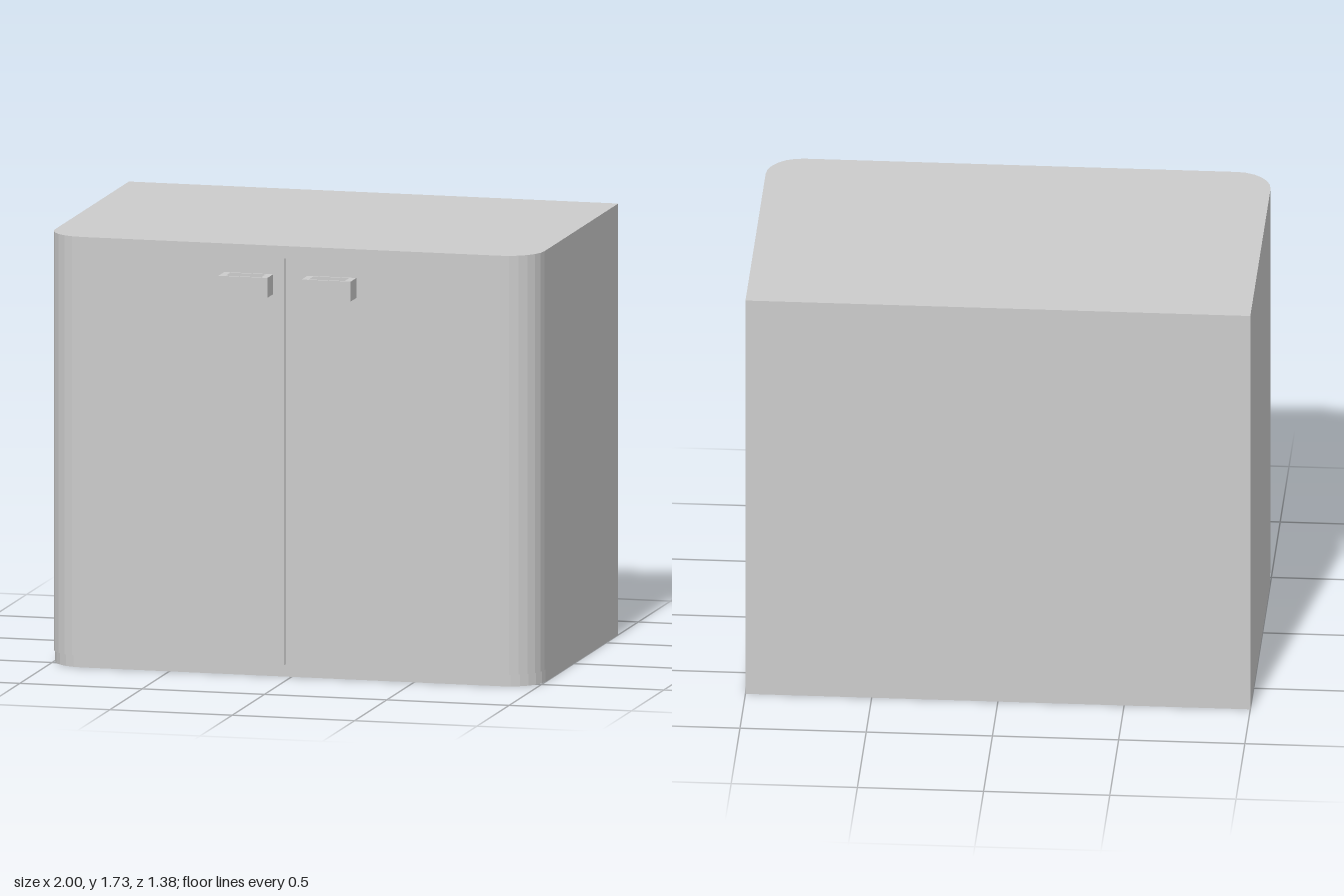
import * as THREE from 'three';

const HALF = 1, BACK = -0.69, FRONT = 0.6, RECESS = 0.02, RADIUS = 0.145;
const PLINTH = 0.05, DOOR_TOP = 1.68, TOP = 1.73, GAP = 0.024;

const material = new THREE.MeshStandardMaterial({ color: 0xcccccc, flatShading: true });

// Rounded front corner on the +x side, from the front face round to the side
function corner(front, steps = 6) {
  return Array.from({ length: steps + 1 }, (_, i) => {
    const a = (i / steps) * Math.PI / 2;
    return [HALF - RADIUS + RADIUS * Math.sin(a), front - RADIUS + RADIUS * Math.cos(a)];
  });
}

const mirror = (pts) => pts.map(([x, z]) => [-x, z]).reverse();
const toPath = (pts) => pts.map(([x, z]) => new THREE.Vector2(x, -z));

// Extrude a floor-plan outline of [x, z] points between two heights
function slab(name, outline, y0, y1, hole) {
  const shape = new THREE.Shape(toPath(outline));
  if (hole) shape.holes.push(new THREE.Path(toPath(hole)));
  const geo = new THREE.ExtrudeGeometry(shape, { depth: y1 - y0, bevelEnabled: false });
  geo.rotateX(-Math.PI / 2).translate(0, y0, 0);
  const mesh = new THREE.Mesh(geo, material);
  mesh.name = name;
  return mesh;
}

const rect = (x0, x1, z0, z1) => [[x0, z0], [x1, z0], [x1, z1], [x0, z1]];

export function createModel() {
  const group = new THREE.Group();
  group.name = 'cabinet';

  const outer = corner(FRONT), inner = corner(FRONT - RECESS);

  // Carcass, whose set-back front shows as the plinth and in the door gap
  group.add(slab('carcass', [[-HALF, BACK], ...mirror(inner), ...inner, [HALF, BACK]], 0, TOP));

  // Rail above the doors
  group.add(slab('topRail',
    [...mirror(outer), ...outer, ...[...mirror(inner), ...inner].reverse()], DOOR_TOP, TOP));

  // Doors wrapping round the corners, each with a square loop handle
  const door = [[GAP, FRONT], ...outer, ...[...inner].reverse(), [GAP, FRONT - RECESS]];
  const grip = rect(0.07, 0.27, FRONT, 0.69);
  const opening = rect(0.097, 0.243, 0.61, 0.68);
  for (const [side, place] of [['left', (p) => p], ['right', mirror]]) {
    group.add(slab(side + 'Door', place(door), PLINTH, DOOR_TOP));
    group.add(slab(side + 'Handle', place(grip), 1.535, 1.615, place(opening)));
  }
  return group;
}
